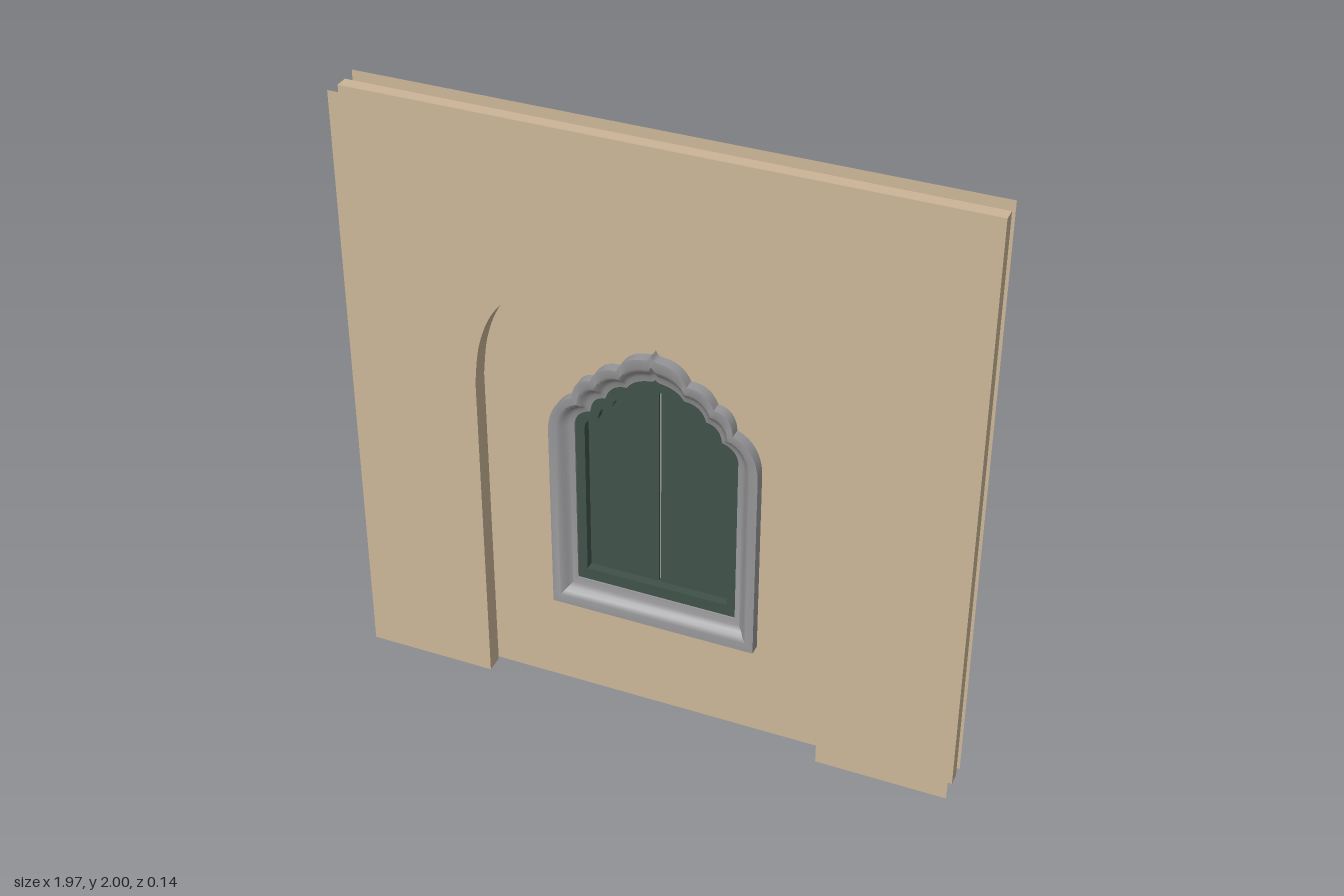
import * as THREE from 'three';
import { toCreasedNormals } from 'three/addons/utils/BufferGeometryUtils.js';

const HALF_WIDTH = 0.983, FACE_Z = 0.071, SLAB_BACK = -0.029, SLAB_FRONT = 0.013;
const v2 = (x, y) => new THREE.Vector2(x, y);

// Mirror a right-hand half outline (bottom to peak) into a full outline
function mirrored(half) {
  const left = half.slice(0, -1).reverse().map(p => v2(-p.x, p.y));
  return [...half, ...left];
}

// Right half of a scalloped window outline: each lobe is [control x, y, end x, y]
function scallopHalf(w, base, spring, lobes) {
  const pts = [v2(w, base), v2(w, spring)];
  for (const [cx, cy, x, y] of lobes) {
    const curve = new THREE.QuadraticBezierCurve(pts[pts.length - 1], v2(cx, cy), v2(x, y));
    pts.push(...curve.getPoints(8).slice(1));
  }
  return pts;
}

// Join matching outlines placed at successive depths; rings = [outline, z]
function loft(rings, closed, crease = 0.6) {
  const n = rings[0][0].length, pos = [], idx = [];
  for (const [outline, z] of rings) for (const p of outline) pos.push(p.x, p.y, z);
  const kMax = closed ? rings.length : rings.length - 1;
  const iMax = closed ? n : n - 1;
  for (let k = 0; k < kMax; k++) {
    const k2 = (k + 1) % rings.length;
    for (let i = 0; i < iMax; i++) {
      const j = (i + 1) % n;
      const a = k * n + i, b = k * n + j, c = k2 * n + j, d = k2 * n + i;
      idx.push(a, b, c, a, c, d);
    }
  }
  const g = new THREE.BufferGeometry();
  g.setAttribute('position', new THREE.Float32BufferAttribute(pos, 3));
  g.setIndex(idx);
  return toCreasedNormals(g, crease);
}

function extrude(shape, z0, z1) {
  const g = new THREE.ExtrudeGeometry(shape, { depth: z1 - z0, bevelEnabled: false });
  return g.translate(0, 0, z0);
}

export function createModel() {
  const group = new THREE.Group();
  const material = (name, color, side = THREE.FrontSide) => {
    const m = new THREE.MeshStandardMaterial({ color, side });
    m.name = name;
    return m;
  };
  const plaster = material('sand plaster', 0xcbb598, THREE.DoubleSide);
  const stone = material('grey stone', 0x969698);
  const paint = material('dark green paint', 0x40524a);
  const add = (name, geometry, mat) => {
    const mesh = new THREE.Mesh(geometry, mat);
    mesh.name = name;
    group.add(mesh);
    return mesh;
  };

  // Outlines
  const outer = mirrored(scallopHalf(0.335, 0.345, 1.0, [
    [0.33, 1.1, 0.255, 1.13], [0.25, 1.2, 0.195, 1.205],
    [0.17, 1.265, 0.11, 1.262], [0.085, 1.32, 0.018, 1.322], [0.005, 1.325, 0, 1.34],
  ]));
  const inner = mirrored(scallopHalf(0.262, 0.435, 1.02, [
    [0.255, 1.065, 0.21, 1.075], [0.205, 1.13, 0.16, 1.135],
    [0.145, 1.19, 0.09, 1.19], [0.07, 1.225, 0.014, 1.232], [0.004, 1.234, 0, 1.242],
  ]));
  const leafHalf = scallopHalf(0.232, 0.475, 1.01, [
    [0.23, 1.04, 0.188, 1.05], [0.183, 1.1, 0.142, 1.105],
    [0.128, 1.155, 0.08, 1.155], [0.062, 1.19, 0.012, 1.195], [0.004, 1.197, 0, 1.203],
  ]);
  const leafOutline = mirrored(leafHalf);
  const between = t => outer.map((p, i) => p.clone().lerp(inner[i], t));

  // Pointed arch of the recess
  const archCurve = new THREE.SplineCurve([
    v2(0.56, 1.12), v2(0.543, 1.25), v2(0.5, 1.365), v2(0.43, 1.45),
    v2(0.34, 1.53), v2(0.2, 1.615), v2(0.02, 1.727), v2(0, 1.733),
  ]);
  const arch = mirrored([v2(0.56, 0), ...archCurve.getPoints(35)]);

  // Core wall with a window opening
  const slab = new THREE.Shape([
    v2(-HALF_WIDTH, 0.01), v2(HALF_WIDTH, 0.01), v2(HALF_WIDTH, 1.99), v2(-HALF_WIDTH, 1.99),
  ]);
  slab.holes.push(new THREE.Path(between(0.5)));
  add('coreWall', extrude(slab, SLAB_BACK, SLAB_FRONT), plaster);

  // Thin outer faces and the arch reveals leading back to the core
  const face = new THREE.Shape([
    v2(HALF_WIDTH, 0), v2(HALF_WIDTH, 2), v2(-HALF_WIDTH, 2), v2(-HALF_WIDTH, 0),
    ...arch.slice().reverse(),
  ]);
  for (const [side, z, coreZ] of [['front', FACE_Z, SLAB_FRONT], ['back', -FACE_Z, SLAB_BACK]]) {
    const skin = add(side + 'WallFace', new THREE.ShapeGeometry(face), plaster);
    skin.position.z = z;
    if (z < 0) skin.rotation.y = Math.PI;
    add(side + 'ArchReveal', loft([[arch, z], [arch, coreZ]], false), plaster);
  }

  // Stone window surround with a coved inner edge on both sides
  const profile = [
    [0, -0.065], [0, 0.05], [0.35, 0.05], [0.5, 0.043], [0.62, 0.03], [0.78, 0.022], [1, 0.018],
    [1, -0.038], [0.78, -0.042], [0.62, -0.048], [0.5, -0.058], [0.35, -0.065],
  ];
  add('windowSurround', loft(profile.map(([t, z]) => [between(t), z]), true), stone);

  // Green window frame
  add('windowFrame', loft([
    [inner, -0.032], [inner, 0.012], [leafOutline, 0.012], [leafOutline, -0.032],
  ], true, 0.4), paint);

  // Pair of shutters with a narrow gap between them
  const gap = 0.004;
  for (const [name, s] of [['leftShutter', 1], ['rightShutter', -1]]) {
    const pts = leafHalf.slice(0, -1).map(p => v2(s * Math.max(p.x, gap), p.y));
    pts.push(v2(s * gap, 1.197), v2(s * gap, 0.475));
    add(name, extrude(new THREE.Shape(pts), -0.027, -0.017), paint);
  }
  return group;
}
